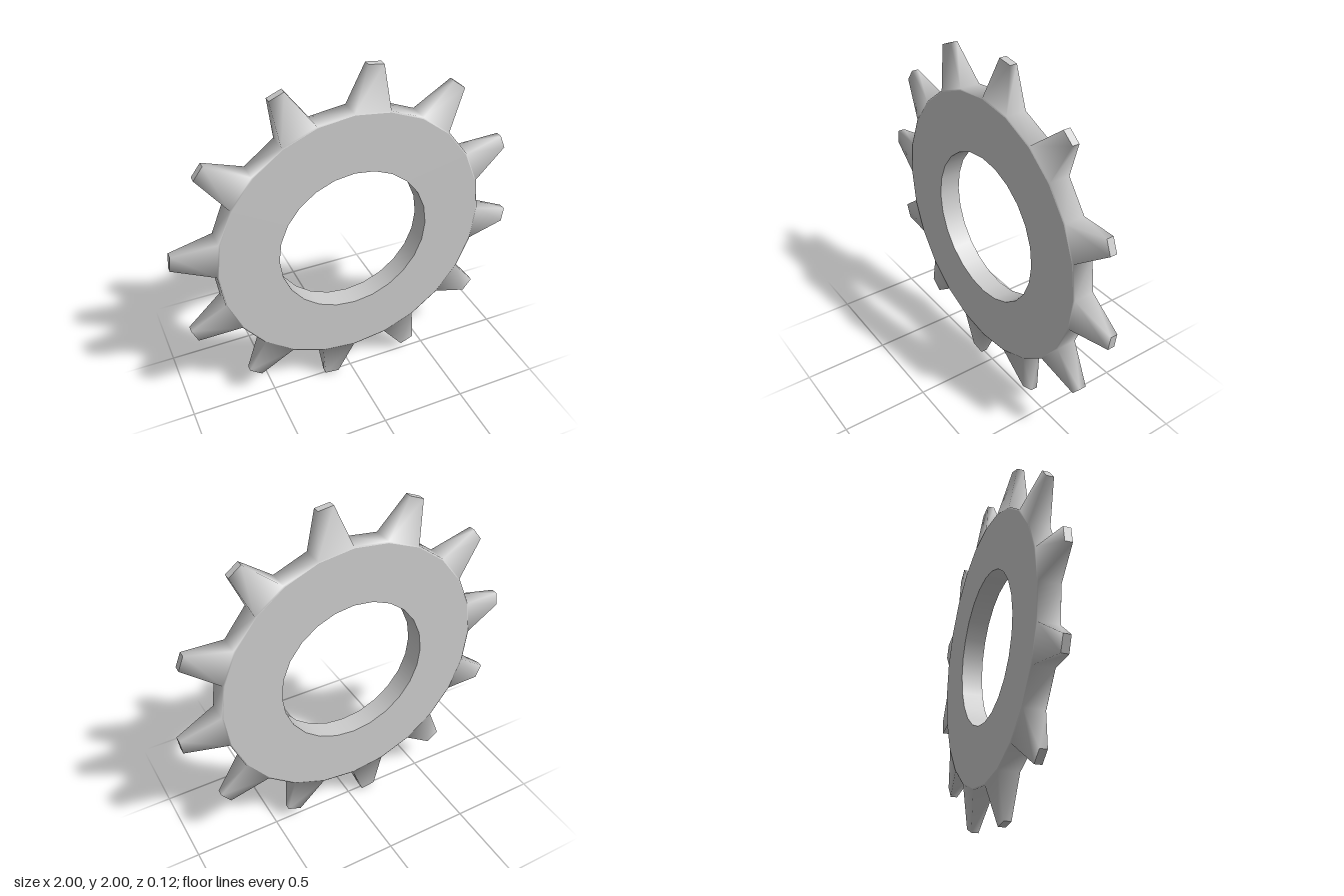
import * as THREE from 'three';

const SEGMENTS = 24, BORE = 0.435, FACE = 0.767, RIM = 0.775, TIP = 1.003;
const FACE_Z = 0.062, RIM_Z = 0.058, TIP_Z = 0.02, TIP_HALF = 0.043;

// Indexed mesh of quads, smooth wherever corners are shared
function quadBuilder() {
  const pos = [], index = [];
  return {
    point: (x, y, z) => pos.push(x, y, z) / 3 - 1,
    quad: (a, b, c, d) => index.push(a, b, c, a, c, d),
    build() {
      const g = new THREE.BufferGeometry();
      g.setAttribute('position', new THREE.Float32BufferAttribute(pos, 3));
      g.setIndex(index);
      g.computeVertexNormals();
      return g;
    },
  };
}

export function createModel() {
  const gear = new THREE.Group();
  gear.name = 'gear';
  const material = new THREE.MeshStandardMaterial({ color: 0xcccccc });
  const add = (name, geometry, mat = material) => {
    const mesh = new THREE.Mesh(geometry, mat);
    mesh.name = name;
    gear.add(mesh);
    return mesh;
  };

  // Flat ring faces, front and back
  const ring = new THREE.RingGeometry(BORE, FACE, SEGMENTS);
  add('frontFace', ring).position.z = FACE_Z;
  const back = add('backFace', ring);
  back.position.z = -FACE_Z;
  back.rotation.y = Math.PI;

  // Central bore wall, seen from inside
  const bore = new THREE.CylinderGeometry(BORE, BORE, FACE_Z * 2, SEGMENTS, 1, true);
  bore.rotateX(Math.PI / 2);
  add('bore', bore, new THREE.MeshStandardMaterial({ color: 0xcccccc, side: THREE.BackSide }));

  // Rim cross-sections: front edge, rim front, rim back, back edge
  const body = quadBuilder(), tips = quadBuilder();
  const profile = [[FACE, FACE_Z], [RIM, RIM_Z], [RIM, -RIM_Z], [FACE, -FACE_Z]];
  const step = (Math.PI * 2) / SEGMENTS;
  const sections = Array.from({ length: SEGMENTS }, (_, k) =>
    profile.map(([r, z]) => body.point(r * Math.cos(k * step), r * Math.sin(k * step), z)));

  for (let k = 0; k < SEGMENTS; k++) {
    const a = sections[k], b = sections[(k + 1) % SEGMENTS];
    body.quad(a[0], a[1], b[1], b[0]);
    body.quad(a[2], a[3], b[3], b[2]);
    if (k % 2 === 0) {
      body.quad(a[1], a[2], b[2], b[1]); // gap between teeth
      continue;
    }
    // Tapered tooth rising from this rim segment
    const mid = (k + 0.5) * step, c = Math.cos(mid), s = Math.sin(mid);
    const base = [a[1], a[2], b[2], b[1]];
    const corners = [[-1, 1], [-1, -1], [1, -1], [1, 1]].map(([t, z]) =>
      [TIP * c - t * TIP_HALF * s, TIP * s + t * TIP_HALF * c, z * TIP_Z]);
    const top = corners.map((p) => body.point(...p));
    for (let i = 0; i < 4; i++) {
      const j = (i + 1) % 4;
      body.quad(base[i], base[j], top[j], top[i]);
    }
    tips.quad(...corners.map((p) => tips.point(...p)));
  }
  add('rimAndTeeth', body.build());
  add('toothTips', tips.build());

  gear.position.y = 1;
  const model = new THREE.Group();
  model.name = 'gearModel';
  model.add(gear);
  return model;
}
